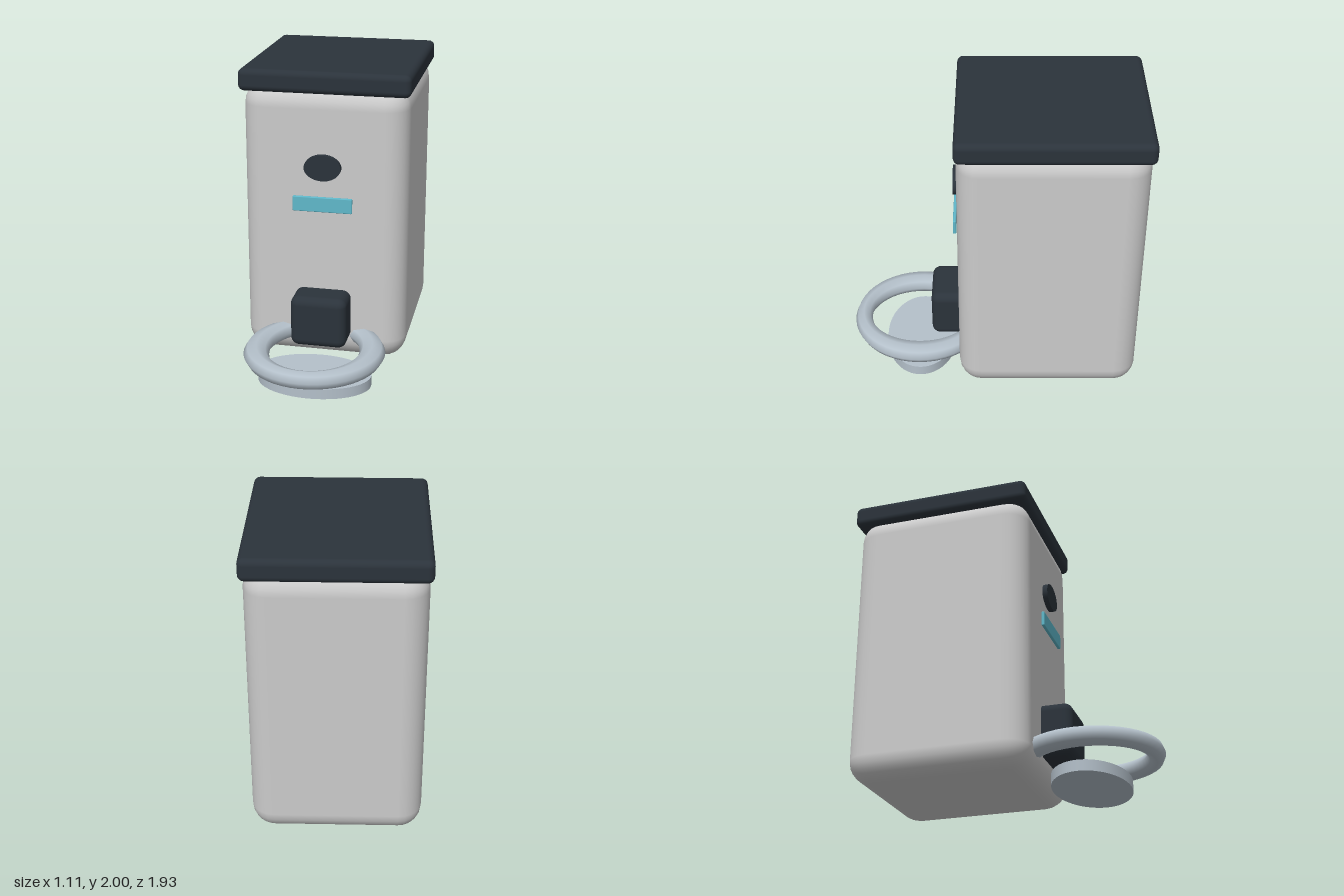
import * as THREE from 'three';
import { RoundedBoxGeometry } from 'three/addons/geometries/RoundedBoxGeometry.js';

const paint = (color) => new THREE.MeshStandardMaterial({ color });

export function createModel() {
  const model = new THREE.Group();
  const grey = paint(0xcccccc);
  const dark = paint(0x2b333b);
  const steel = paint(0xb4c0ca);
  const teal = paint(0x5fb8ca);

  const add = (name, geometry, material, x, y, z) => {
    const mesh = new THREE.Mesh(geometry, material);
    mesh.name = name;
    mesh.position.set(x, y, z);
    model.add(mesh);
    return mesh;
  };
  // Rounded box given by its size, radius and extents along y and z
  const block = (name, material, width, [y0, y1], [z0, z1], radius, segments) =>
    add(name, new RoundedBoxGeometry(width, y1 - y0, z1 - z0, segments, radius),
      material, 0, (y0 + y1) / 2, (z0 + z1) / 2);

  // Hopper, lid and food outlet
  block('body', grey, 1.08, [0.045, 1.91], [-0.96, 0.225], 0.15, 3);
  block('lid', dark, 1.11, [1.855, 2], [-0.97, 0.235], 0.04, 4);
  block('outlet', dark, 0.37, [0.2, 0.545], [0.08, 0.42], 0.055, 4);

  // Front display and oval sensor
  block('displayPanel', teal, 0.39, [1.09, 1.19], [0.238, 0.259], 0.006, 2);
  const sensor = new THREE.CylinderGeometry(1, 1, 0.06, 40);
  sensor.rotateX(Math.PI / 2);
  sensor.scale(0.12, 0.085, 1);
  add('sensor', sensor, dark, 0, 1.385, 0.229);

  // Oval bowl base
  const base = new THREE.CylinderGeometry(1, 1, 0.07, 48);
  base.scale(0.375, 1, 0.245);
  add('bowlBase', base, steel, 0, 0.04, 0.5);

  // Bowl rim: a flattened ring, longer and thinner towards the front
  const rim = new THREE.TorusGeometry(0.375, 0.085, 8, 48);
  rim.rotateX(Math.PI / 2);
  const p = rim.attributes.position;
  for (let i = 0; i < p.count; i++) {
    const r = Math.hypot(p.getX(i), p.getZ(i));
    p.setY(i, p.getY(i) * 0.7);
    p.setZ(i, (p.getZ(i) / r) * (0.151 + 0.682 * r));
  }
  rim.computeVertexNormals();
  // Weld the normals across the seams of the ring
  const n = rim.attributes.normal;
  const rows = 8, cols = 48, at = (j, i) => j * (cols + 1) + i;
  const weld = (a, b) => {
    const v = new THREE.Vector3().fromBufferAttribute(n, a)
      .add(new THREE.Vector3().fromBufferAttribute(n, b)).normalize();
    n.setXYZ(a, v.x, v.y, v.z);
    n.setXYZ(b, v.x, v.y, v.z);
  };
  for (let i = 0; i <= cols; i++) weld(at(0, i), at(rows, i));
  for (let j = 0; j <= rows; j++) weld(at(j, 0), at(j, cols));
  add('bowlRim', rim, steel, 0, 0.22, 0.5);

  return model;
}
